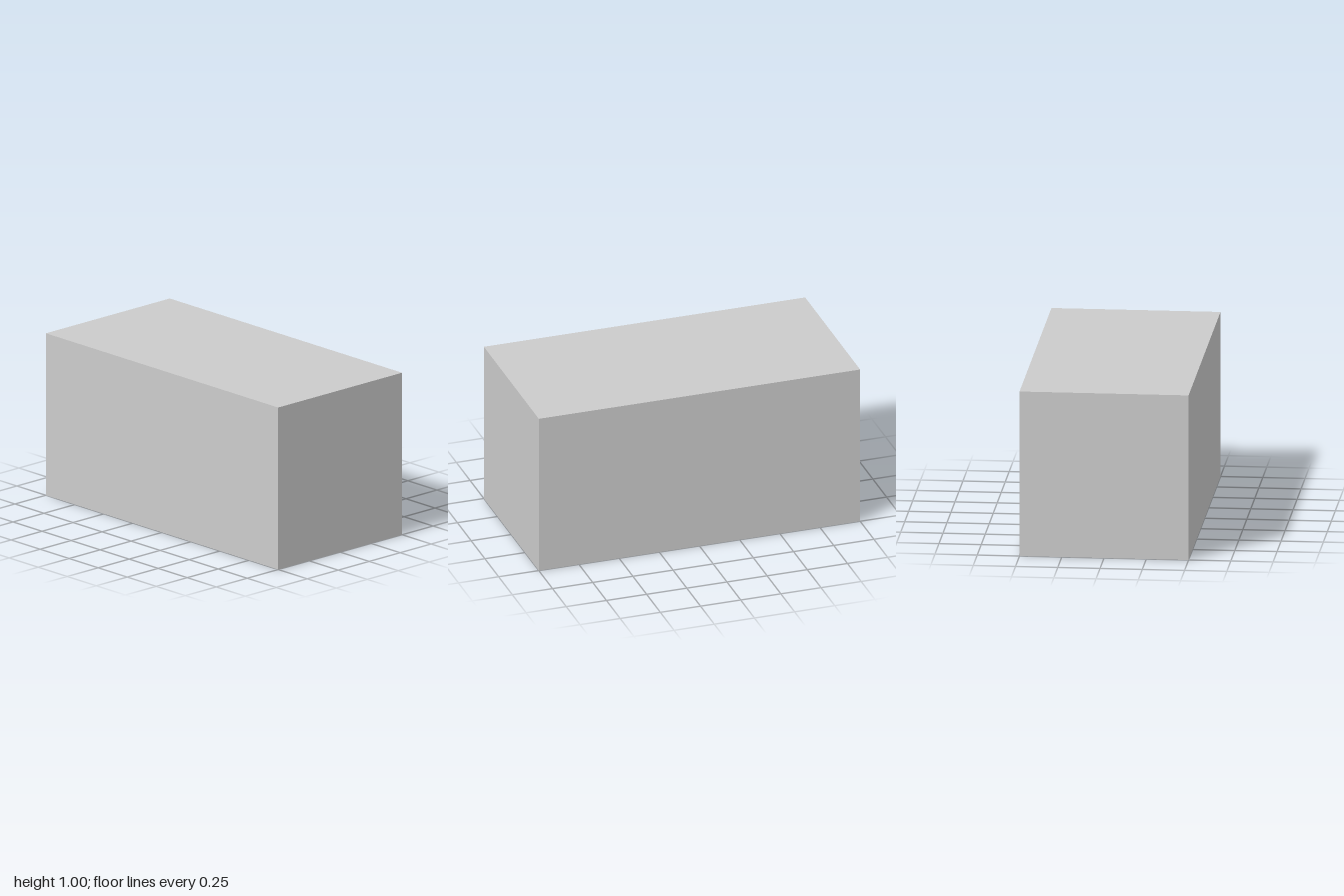
import * as THREE from 'three';

const WIDTH = 1, HEIGHT = 1, HALF_LENGTH = 1, ARCH_RADIUS = 0.9, ARCH_SIDES = 16;

export function createModel() {
  const group = new THREE.Group();
  const material = new THREE.MeshStandardMaterial({
    color: 0xcccccc, flatShading: true, side: THREE.DoubleSide,
  });

  // Block with a faceted half-round vault hollowed out from below
  const profile = new THREE.Shape();
  profile.moveTo(HALF_LENGTH, 0);
  profile.lineTo(HALF_LENGTH, HEIGHT);
  profile.lineTo(-HALF_LENGTH, HEIGHT);
  profile.lineTo(-HALF_LENGTH, 0);
  for (let i = ARCH_SIDES; i >= 0; i--) {
    const a = (i / ARCH_SIDES) * Math.PI;
    profile.lineTo(ARCH_RADIUS * Math.cos(a), ARCH_RADIUS * Math.sin(a));
  }
  const blockGeometry = new THREE.ExtrudeGeometry(profile, { depth: WIDTH, bevelEnabled: false });
  blockGeometry.translate(0, 0, -WIDTH / 2).rotateY(Math.PI / 2);
  const block = new THREE.Mesh(blockGeometry, material);
  block.name = 'vaultedBlock';
  group.add(block);

  // Thin walls that close the vault flush with both sides
  for (const side of [-1, 1]) {
    const wall = new THREE.Mesh(
      new THREE.CircleGeometry(ARCH_RADIUS, ARCH_SIDES, 0, Math.PI), material);
    wall.rotation.y = side * Math.PI / 2;
    wall.position.x = side * WIDTH / 2;
    wall.name = side > 0 ? 'leftVaultWall' : 'rightVaultWall';
    group.add(wall);
  }
  return group;
}
